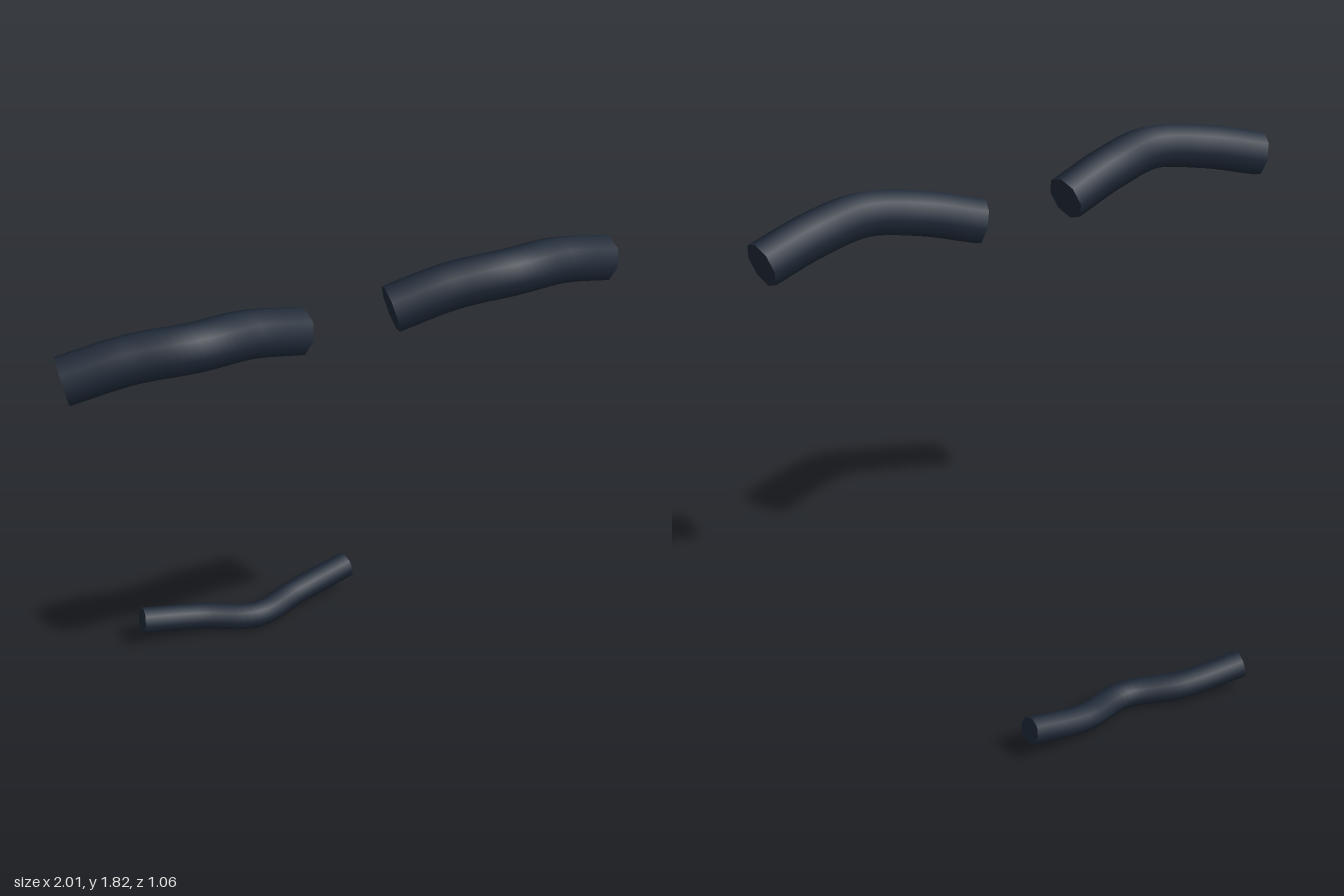
import * as THREE from 'three';

const SIDES = 8, STEPS = 32;

// Flat end discs that share the first and last ring of a tube
function endCaps(tube, curve) {
  const pos = tube.attributes.position, out = [];
  const put = (v) => out.push(v.x, v.y, v.z);
  for (const end of [0, 1]) {
    const centre = curve.getPointAt(end);
    const outward = curve.getTangentAt(end).multiplyScalar(end ? 1 : -1);
    const first = end * STEPS * (SIDES + 1);
    for (let i = 0; i < SIDES; i++) {
      const a = new THREE.Vector3().fromBufferAttribute(pos, first + i);
      const b = new THREE.Vector3().fromBufferAttribute(pos, first + i + 1);
      const n = a.clone().sub(centre).cross(b.clone().sub(centre));
      put(centre);
      if (n.dot(outward) > 0) { put(a); put(b); } else { put(b); put(a); }
    }
  }
  const geometry = new THREE.BufferGeometry();
  geometry.setAttribute('position', new THREE.Float32BufferAttribute(out, 3));
  geometry.computeVertexNormals();
  return geometry;
}

// Smooth bent rod with closed ends
function rod(name, points, radius, material) {
  const curve = new THREE.CatmullRomCurve3(points.map((p) => new THREE.Vector3(...p)));
  const tube = new THREE.TubeGeometry(curve, STEPS, radius, SIDES, false);
  const group = new THREE.Group();
  group.name = name;
  const body = new THREE.Mesh(tube, material);
  body.name = name + 'Body';
  const caps = new THREE.Mesh(endCaps(tube, curve), material);
  caps.name = name + 'Ends';
  group.add(body, caps);
  return group;
}

export function createModel() {
  const model = new THREE.Group();
  model.name = 'faceFeatures';
  const slate = new THREE.MeshStandardMaterial({ color: 0x1f2937 });
  slate.name = 'darkSlate';

  // Arched brows, bowed up and forward
  model.add(rod('rightBrow', [
    [-0.978, 1.665, 0.352], [-0.77, 1.717, 0.400], [-0.573, 1.737, 0.446],
    [-0.375, 1.717, 0.400], [-0.172, 1.663, 0.352],
  ], 0.082, slate));
  model.add(rod('leftBrow', [
    [0.172, 1.661, 0.335], [0.375, 1.720, 0.373], [0.575, 1.745, 0.410],
    [0.775, 1.731, 0.373], [0.978, 1.684, 0.335],
  ], 0.082, slate));

  // Mouth, curved up at the ends and pushed forward in the middle
  model.add(rod('mouth', [
    [-0.432, 0.096, -0.485], [-0.2, 0.066, -0.457], [0, 0.053, -0.394],
    [0.2, 0.066, -0.457], [0.43, 0.113, -0.485],
  ], 0.05, slate));
  return model;
}
